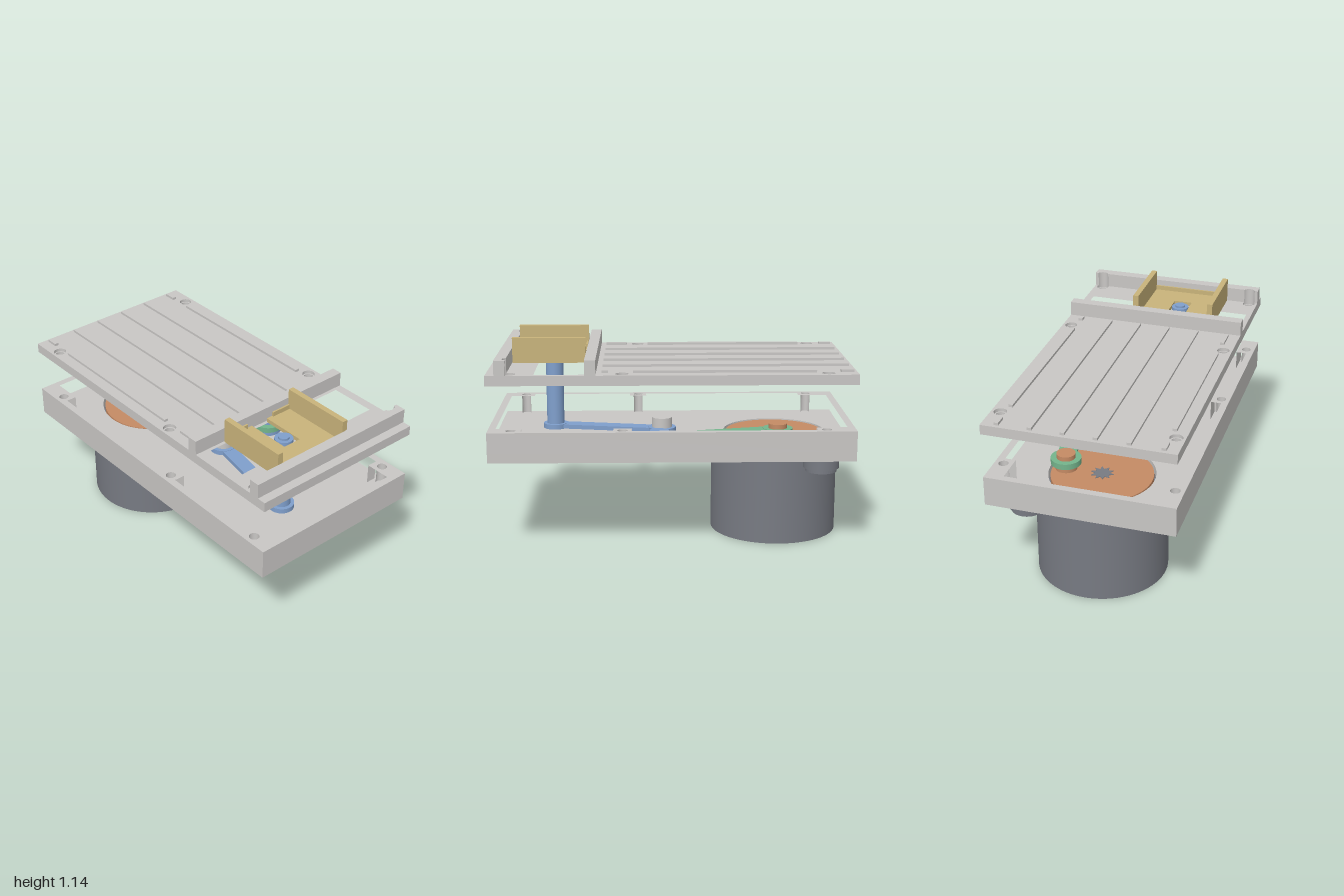
import * as THREE from 'three';

const mat = (name, color) => {
  const m = new THREE.MeshStandardMaterial({ color });
  m.name = name;
  return m;
};

export function createModel() {
  const grey = mat('casing grey', 0xc8c6c4);
  const dark = mat('motor grey', 0x777a82);
  const blue = mat('crank blue', 0x7f9fcc);
  const sand = mat('slider sand', 0xc8b37a);
  const green = mat('link green', 0x74b48c);
  const orange = mat('disc orange', 0xc48a64);

  const root = new THREE.Group();
  root.name = 'linkageDrive';
  const group = (name) => {
    const g = new THREE.Group();
    g.name = name;
    root.add(g);
    return g;
  };
  const add = (parent, name, geo, material) => {
    const m = new THREE.Mesh(geo, material);
    m.name = name;
    parent.add(m);
    return m;
  };
  // box from min and max bounds
  const box = (p, name, material, x0, x1, y0, y1, z0, z1) =>
    add(p, name, new THREE.BoxGeometry(x1 - x0, y1 - y0, z1 - z0)
      .translate((x0 + x1) / 2, (y0 + y1) / 2, (z0 + z1) / 2), material);
  // upright cylinder at x, z
  const cyl = (p, name, material, x, z, r, y0, y1, n = 40) =>
    add(p, name, new THREE.CylinderGeometry(r, r, y1 - y0, n).translate(x, (y0 + y1) / 2, z), material);
  // plan outline in (x, z) raised from y0 to y1
  const outline = (pts) => pts.map(([x, z]) => new THREE.Vector2(x, -z));
  const round = (x, z, r) => new THREE.Path().absarc(x, -z, r, 0, Math.PI * 2, false);
  const slab = (p, name, material, shape, holes, y0, y1) => {
    shape.holes.push(...holes);
    const geo = new THREE.ExtrudeGeometry(shape, { depth: y1 - y0, bevelEnabled: false, curveSegments: 32 });
    return add(p, name, geo.rotateX(-Math.PI / 2).translate(0, y0, 0), material);
  };
  const rect = (x0, x1, z0, z1) => outline([[x0, z0], [x1, z0], [x1, z1], [x0, z1]]);
  const plate = () => new THREE.Shape(rect(-0.52, 0.52, -1, 1));
  // bar with round ends between two plan points
  const bar = (p, name, material, a, b, ra, rb, w, y0, y1) => {
    cyl(p, name + 'EndA', material, ...a, ra, y0, y1);
    cyl(p, name + 'EndB', material, ...b, rb, y0, y1);
    const dx = b[0] - a[0], dz = b[1] - a[1];
    const m = add(p, name + 'Bar', new THREE.BoxGeometry(Math.hypot(dx, dz), y1 - y0 - 0.004, w), material);
    m.position.set((a[0] + b[0]) / 2, (y0 + y1) / 2, (a[1] + b[1]) / 2);
    m.rotation.y = -Math.atan2(dz, dx);
  };

  const screws = [[-0.47, -0.84], [0.47, -0.84], [-0.47, 0.19], [0.47, 0.27], [-0.47, 0.875], [0.47, 0.875]];

  // lower tray: floor with disc recess, walls with screw bosses
  const tray = group('tray');
  slab(tray, 'trayFloor', grey, plate(), [round(0, -0.6, 0.292)], 0.52, 0.572);
  const cavity = new THREE.Path(outline([
    [-0.42, -0.96], [0.42, -0.96], [0.42, -0.79], [0.48, -0.79], [0.48, 0.22], [0.42, 0.22],
    [0.42, 0.32], [0.48, 0.32], [0.48, 0.82], [0.42, 0.82], [0.42, 0.96], [-0.42, 0.96],
    [-0.42, 0.82], [-0.48, 0.82], [-0.48, 0.24], [-0.42, 0.24], [-0.42, 0.14], [-0.48, 0.14],
    [-0.48, -0.79], [-0.42, -0.79]]));
  slab(tray, 'trayWalls', grey, plate(), [cavity, ...screws.map(([x, z]) => round(x, z, 0.027))], 0.572, 0.688);

  // upper plate: slider window and stepped screw holes
  const lid = group('lid');
  const lidLayer = (name, r, y0, y1) => slab(lid, name, grey, plate(),
    [new THREE.Path(rect(-0.49, 0.49, 0.47, 0.75)), ...screws.map(([x, z]) => round(x, z, r))], y0, y1);
  lidLayer('lidLower', 0.027, 0.945, 0.982);
  lidLayer('lidUpper', 0.035, 0.982, 1.0);
  box(lid, 'rearGuide', grey, -0.52, 0.52, 1.0, 1.082, 0.41, 0.47);
  // front guide rail, notched around the screw holes
  const rail = new THREE.Shape();
  const notch = Math.acos(0.015 / 0.035);
  rail.moveTo(-0.52, -0.95);
  rail.lineTo(0.52, -0.95);
  rail.lineTo(0.52, -0.89);
  for (const x of [0.47, -0.47]) {
    rail.absarc(x, -0.875, 0.035, -Math.PI / 2 + notch, -Math.PI / 2 - notch, true);
  }
  rail.lineTo(-0.52, -0.89);
  slab(lid, 'frontGuide', grey, rail, [], 1.0, 1.082);
  // ribs, interrupted beside the screws
  const rib = (x, z0, z1) => box(lid, 'rib', grey, x - 0.012, x + 0.012, 1.0, 1.014, z0, z1);
  for (const x of [-0.265, -0.09, 0.085, 0.26]) rib(x, -0.98, 0.38);
  for (const [a, b] of [[-0.98, -0.91], [-0.78, 0.13], [0.26, 0.38]]) rib(-0.445, a, b);
  for (const [a, b] of [[-0.98, -0.91], [-0.78, 0.21], [0.345, 0.38]]) rib(0.438, a, b);

  // motor with two mounting lugs
  const motor = group('motor');
  cyl(motor, 'motorBody', dark, 0, -0.6, 0.363, 0, 0.52, 72);
  for (const s of [1, -1]) {
    const x = 0.348 * s, z = -0.6 - 0.23 * s;
    cyl(motor, 'lug', dark, x, z, 0.1, 0.445, 0.52);
    const foot = [[0.03, 0.445], [0.03, 0.425], [0.088, 0.425], [0.088, 0.445]].map((q) => new THREE.Vector2(...q));
    const geo = new THREE.LatheGeometry(foot, 40).toNonIndexed();
    geo.computeVertexNormals();
    add(motor, 'lugFoot', geo.translate(x, 0, z), dark);
  }
  // splined shaft end
  const spline = Array.from({ length: 20 }, (_, i) => {
    const a = (i * Math.PI) / 10, r = i % 2 ? 0.04 : 0.064;
    return [r * Math.cos(a), -0.6 + r * Math.sin(a)];
  });
  slab(motor, 'shaftSpline', dark, new THREE.Shape(outline(spline)), [], 0.52, 0.572);

  // crank disc and its pin
  const disc = group('crankDisc');
  const pin = [0.206, -0.6], joint = [0.35, 0.07], pivot = [0.025, 0.05], post = [-0.09, 0.67];
  cyl(disc, 'disc', orange, 0, -0.6, 0.28, 0.521, 0.568, 64);
  cyl(disc, 'pinCollar', orange, ...pin, 0.06, 0.568, 0.602);
  cyl(disc, 'pin', orange, ...pin, 0.052, 0.602, 0.662);

  // connecting link
  const link = group('link');
  bar(link, 'link', green, pin, joint, 0.084, 0.09, 0.1, 0.603, 0.636);

  // bell crank, joint pin and drive post
  const crank = group('bellCrank');
  bar(crank, 'sideArm', blue, pivot, joint, 0.08, 0.08, 0.09, 0.574, 0.603);
  bar(crank, 'driveArm', blue, pivot, post, 0.079, 0.07, 0.085, 0.5745, 0.6025);
  cyl(crank, 'jointPin', blue, ...joint, 0.055, 0.6, 0.658);
  cyl(crank, 'drivePost', blue, ...post, 0.05, 0.6, 1.022);
  cyl(crank, 'postTip', blue, ...post, 0.03, 1.022, 1.034);
  cyl(tray, 'pivotBoss', grey, ...pivot, 0.058, 0.57, 0.66);

  // slider: slotted floor, side walls, low rear lips
  const slider = group('slider');
  slab(slider, 'sliderFloor', sand, new THREE.Shape(outline([
    [-0.33, 0.48], [-0.145, 0.48], [-0.145, 0.735], [-0.038, 0.735], [-0.038, 0.48],
    [0.148, 0.48], [0.148, 0.885], [-0.33, 0.885]])), [], 1.001, 1.024);
  box(slider, 'rightCheek', sand, -0.332, -0.3, 1.001, 1.142, 0.478, 0.887);
  box(slider, 'leftCheek', sand, 0.118, 0.15, 1.001, 1.142, 0.478, 0.887);
  box(slider, 'rearLip', sand, -0.3, -0.18, 1.02, 1.05, 0.48, 0.49);
  box(slider, 'rearLip', sand, 0.0, 0.118, 1.02, 1.05, 0.48, 0.49);
  box(slider, 'frontLip', sand, -0.3, 0.118, 1.02, 1.05, 0.875, 0.885);

  return root;
}
